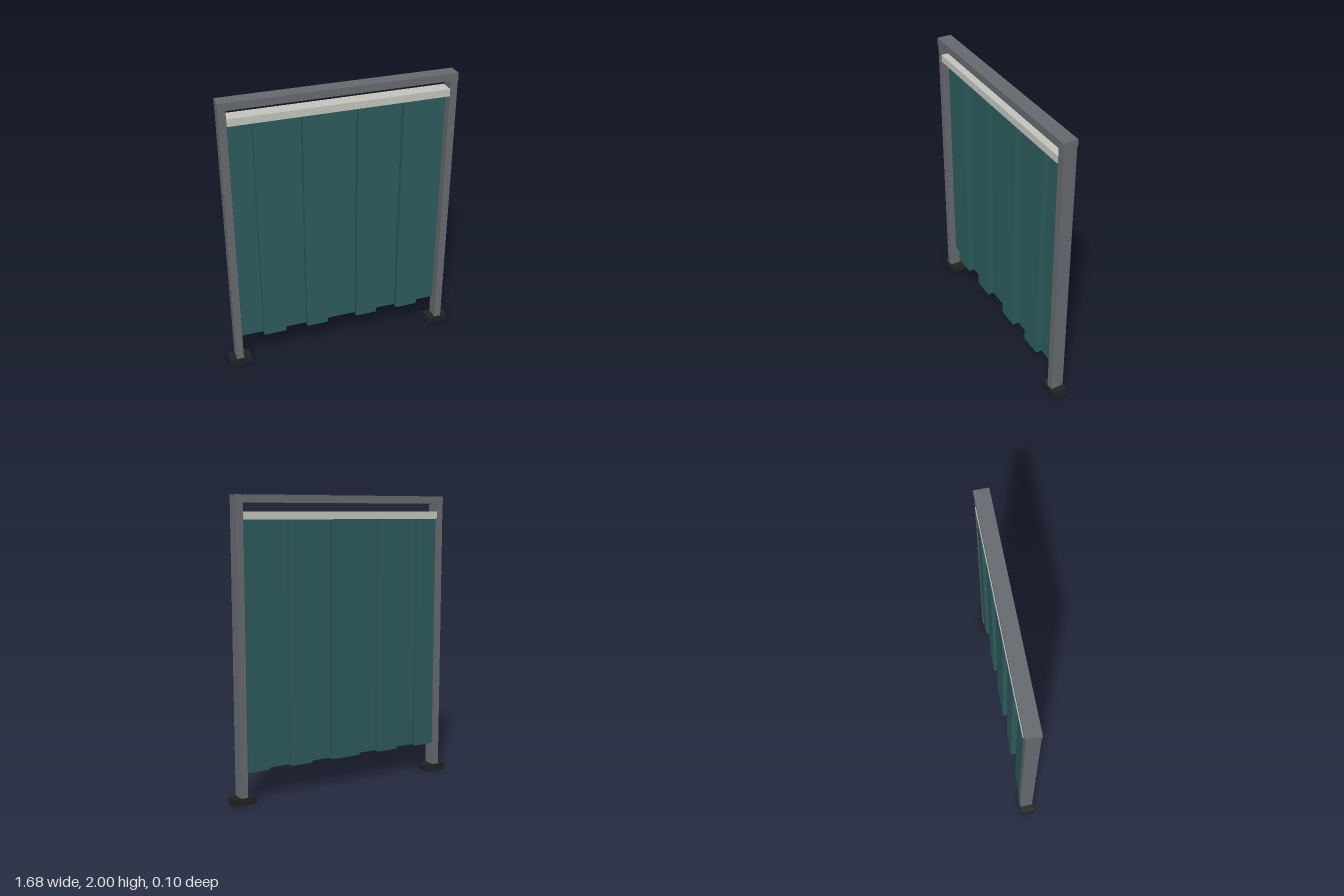
import * as THREE from 'three';

const material = (name, color) => {
  const m = new THREE.MeshStandardMaterial({ color });
  m.name = name;
  return m;
};

export function createModel() {
  const group = new THREE.Group();
  const steel = material('grey steel', 0x66696e);
  const rubber = material('black rubber', 0x222222);
  const railPaint = material('pale rail', 0xc4c4be);
  const fabric = material('teal fabric', 0x2d5a5c);

  // Box given by its lower and upper bounds on each axis
  const box = (name, mat, [x0, x1], [y0, y1], [z0, z1]) => {
    const mesh = new THREE.Mesh(new THREE.BoxGeometry(x1 - x0, y1 - y0, z1 - z0), mat);
    mesh.position.set((x0 + x1) / 2, (y0 + y1) / 2, (z0 + z1) / 2);
    mesh.name = name;
    group.add(mesh);
  };

  // Frame: top beam, two posts and their feet
  box('topBeam', steel, [-0.79, 0.79], [1.95, 2], [-0.05, 0.05]);
  for (const [side, s] of [['left', 1], ['right', -1]]) {
    const span = (a, b) => (s > 0 ? [a, b] : [-b, -a]);
    box(side + 'Post', steel, span(0.74, 0.79), [0, 1.95], [-0.045, 0.045]);
    box(side + 'Foot', rubber, span(0.685, 0.84), [0.001, 0.05], [-0.05, 0.05]);
  }

  // Curtain rail between the posts
  box('curtainRail', railPaint, [-0.738, 0.738], [1.845, 1.895], [-0.05, 0.05]);

  // Curtain folds, alternating behind and in front of the middle plane
  const edges = [-0.73, -0.58, -0.42, -0.263, -0.108, 0.108, 0.263, 0.42, 0.58, 0.73];
  for (let i = 0; i < edges.length - 1; i++) {
    const depth = i % 2 ? [-0.002, 0.045] : [-0.045, 0.002];
    box('curtainFold' + (i + 1), fabric, [edges[i], edges[i + 1]], [0.215, 1.845], depth);
  }
  return group;
}
